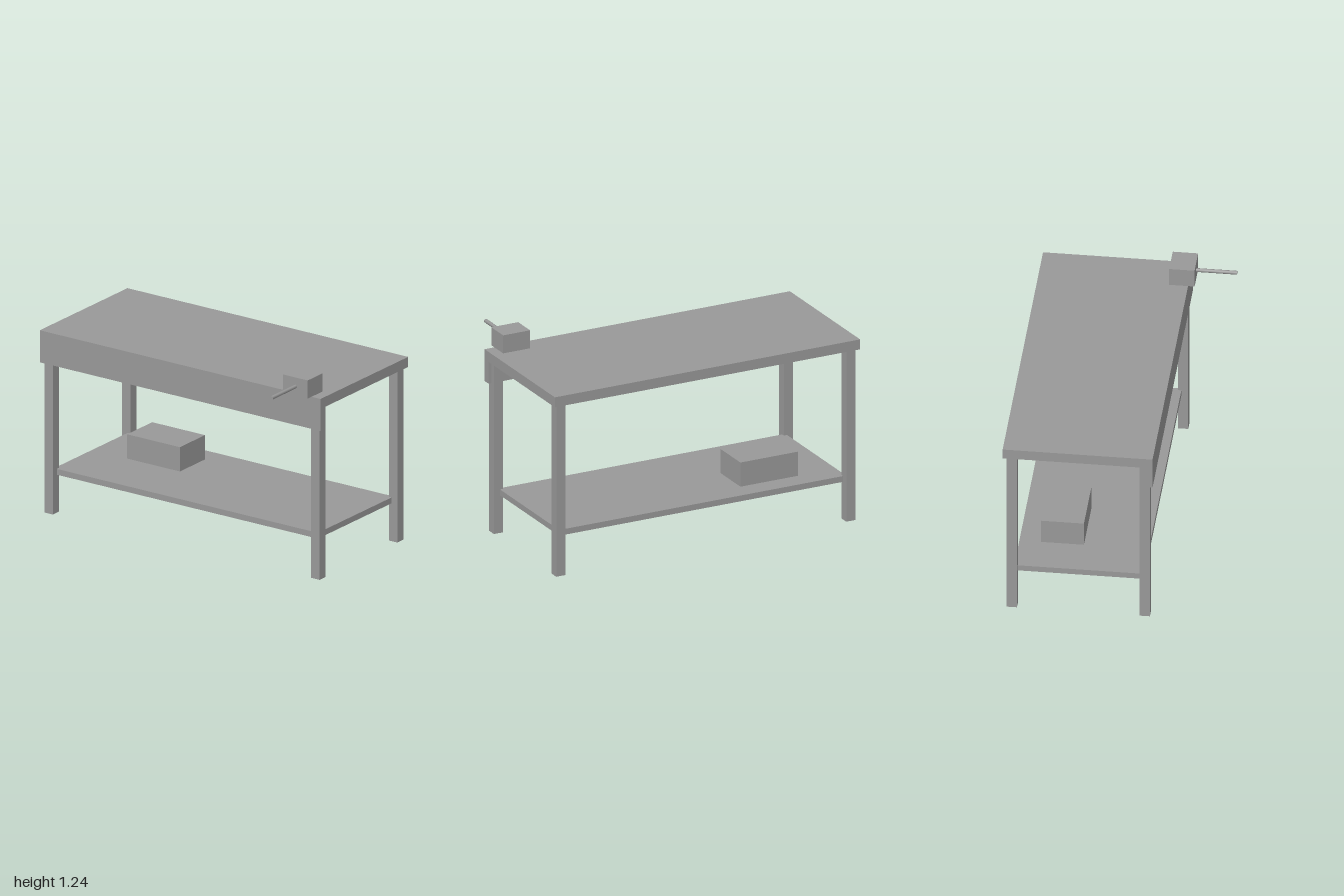
import * as THREE from 'three';

export function createModel() {
  const model = new THREE.Group();
  const grey = new THREE.MeshStandardMaterial({ color: 0x999999 });
  grey.name = 'grey';

  function add(name, geometry) {
    const mesh = new THREE.Mesh(geometry, grey);
    mesh.name = name;
    model.add(mesh);
    return mesh;
  }

  // Box between two limits on each axis
  function box(name, [x0, x1], [y0, y1], [z0, z1]) {
    add(name, new THREE.BoxGeometry(x1 - x0, y1 - y0, z1 - z0))
      .position.set((x0 + x1) / 2, (y0 + y1) / 2, (z0 + z1) / 2);
  }

  // Worktop with a deep apron along the front edge
  box('worktop', [-1, 1], [1.064, 1.126], [-0.575, 0.3]);
  box('frontApron', [-1, 1], [0.928, 1.064], [0.251, 0.3]);

  // Four square legs
  for (const side of [-1, 1]) {
    const name = side > 0 ? 'left' : 'right';
    const x = [side * 0.95 - 0.03, side * 0.95 + 0.03];
    box(name + 'FrontLeg', x, [0, 1.064], [0.222, 0.282]);
    box(name + 'BackLeg', x, [0, 1.064], [-0.554, -0.494]);
  }

  // Lower shelf, let into the legs, with a toolbox on it
  box('shelf', [-0.94, 0.94], [0.234, 0.27], [-0.514, 0.242]);
  box('toolbox', [-0.69, -0.314], [0.27, 0.42], [-0.388, -0.137]);

  // Vise block with its handle pointing forward
  box('viseBody', [0.76, 0.936], [1.126, 1.238], [0.19, 0.338]);
  const handle = add('viseHandle', new THREE.CylinderGeometry(0.0115, 0.0115, 0.24, 8));
  handle.rotation.x = Math.PI / 2;
  handle.position.set(0.848, 1.182, 0.456);

  return model;
}
